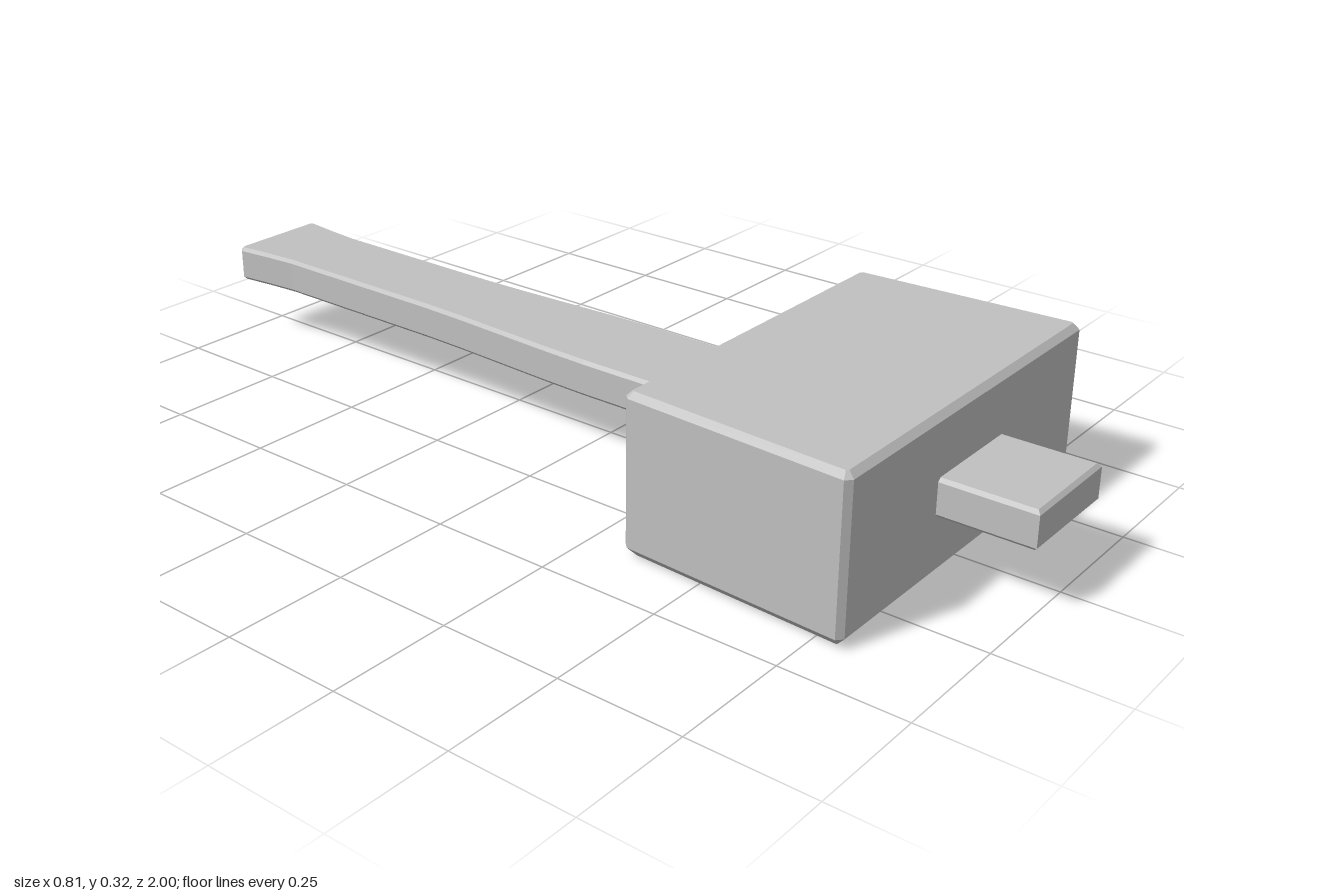
import * as THREE from 'three';

// Mirror a half outline of [x, z] points (front to back) into a full loop seen from above
function mirrorOutline(half) {
  const right = half.map(([x, z]) => new THREE.Vector2(x, -z));
  const left = half.map(([x, z]) => new THREE.Vector2(-x, -z)).reverse();
  return [...right, ...left];
}

// Move every edge of a counter-clockwise loop inwards by d
function inset(loop, d) {
  const n = loop.length;
  return loop.map((p, i) => {
    const e1 = p.clone().sub(loop[(i + n - 1) % n]).normalize();
    const e2 = loop[(i + 1) % n].clone().sub(p).normalize();
    const n1 = new THREE.Vector2(-e1.y, e1.x);
    const n2 = new THREE.Vector2(-e2.y, e2.x);
    const miter = n1.clone().add(n2);
    return p.clone().addScaledVector(miter, d / (1 + n1.dot(n2)));
  });
}

// Stack the outline at [height, inset] levels, giving a solid with chamfered rims
function chamferedSlab(loop, levels) {
  const rings = levels.map(([y, d]) => inset(loop, d).map((p) => [p.x, y, -p.y]));
  const pos = [];
  const tri = (a, b, c) => pos.push(...a, ...b, ...c);
  for (let k = 0; k < rings.length - 1; k++) {
    const lo = rings[k], hi = rings[k + 1];
    for (let i = 0; i < loop.length; i++) {
      const j = (i + 1) % loop.length;
      tri(lo[i], lo[j], hi[j]);
      tri(lo[i], hi[j], hi[i]);
    }
  }
  const top = rings[rings.length - 1], bottom = rings[0];
  for (const [a, b, c] of THREE.ShapeUtils.triangulateShape(loop, [])) {
    tri(top[a], top[b], top[c]);
    tri(bottom[a], bottom[c], bottom[b]);
  }
  const geo = new THREE.BufferGeometry();
  geo.setAttribute('position', new THREE.Float32BufferAttribute(pos, 3));
  geo.computeVertexNormals();
  return geo;
}

export function createModel() {
  const model = new THREE.Group();
  model.name = 'mallet';
  const grey = new THREE.MeshStandardMaterial({ color: 0xc0c0c0 });
  grey.name = 'light grey';

  // Head: tapered block with chamfered corners and a wider chamfer underneath
  const headOutline = mirrorOutline([
    [0.393, 0.81], [0.405, 0.799], [0.381, 0.346], [0.37, 0.335],
  ]);
  const head = new THREE.Mesh(
    chamferedSlab(headOutline, [[0, 0.02], [0.021, 0], [0.313, 0], [0.325, 0.012]]), grey);
  head.name = 'head';
  model.add(head);

  // Handle: flat bar through the head, waisted at the grip and flared at the end
  const handleOutline = mirrorOutline([
    [0.115, 1], [0.115, 0.02], [0.112, -0.08], [0.106, -0.2], [0.1, -0.32],
    [0.097, -0.42], [0.097, -0.84], [0.103, -0.91], [0.112, -0.988], [0.102, -1],
  ]);
  const handle = new THREE.Mesh(
    chamferedSlab(handleOutline, [[0.128, 0.007], [0.135, 0], [0.197, 0], [0.204, 0.007]]), grey);
  handle.name = 'handle';
  model.add(handle);

  return model;
}
